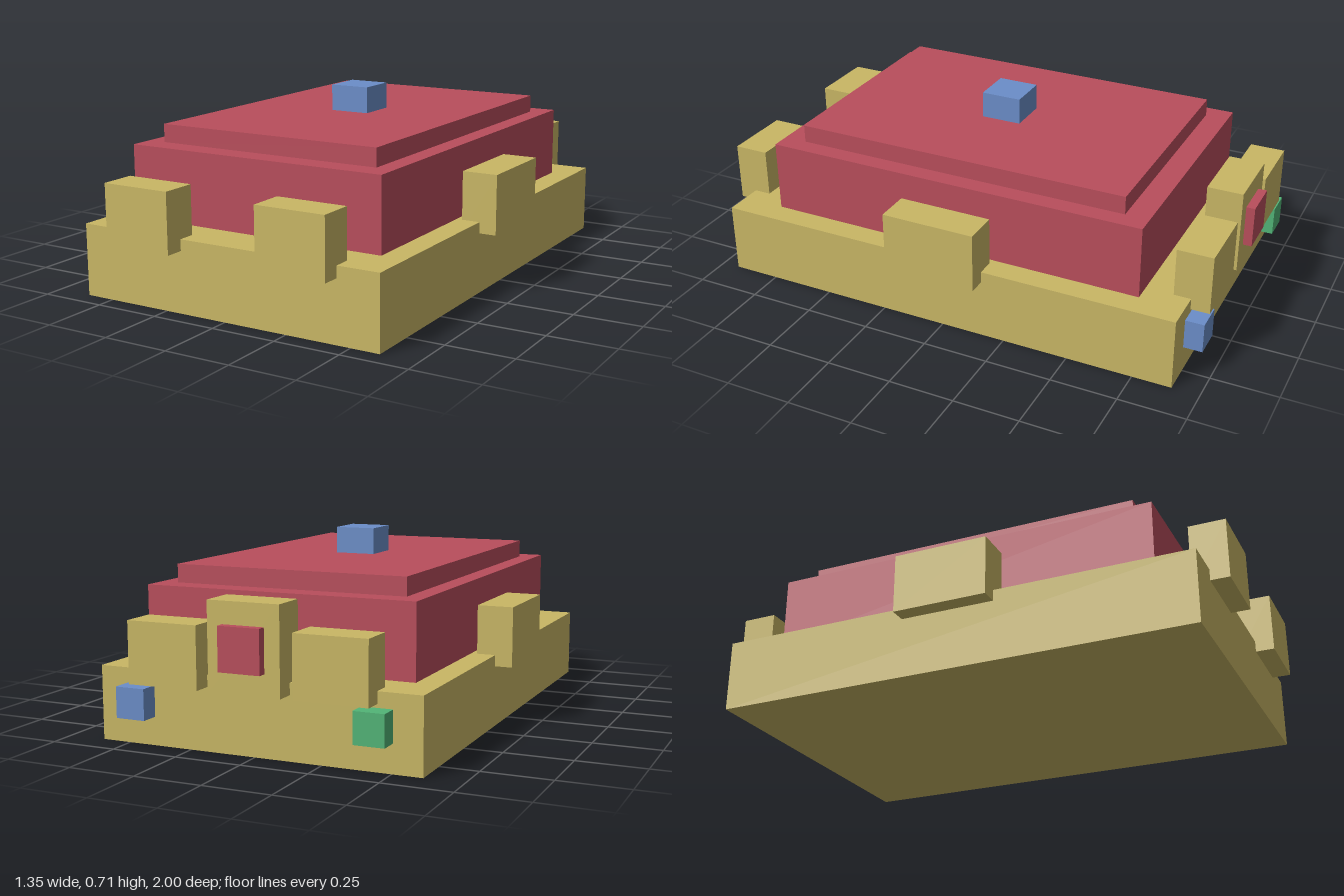
import * as THREE from 'three';

export function createModel() {
  const model = new THREE.Group();
  model.name = 'steppedBox';

  const material = (name, color) => {
    const m = new THREE.MeshStandardMaterial({ color });
    m.name = name;
    return m;
  };
  const gold = material('gold', 0xc9b765);
  const red = material('red', 0xb94e5c);
  const blue = material('blue', 0x6b8ec9);
  const green = material('green', 0x52b577);

  // Box given by its lower and upper limits on each axis
  const box = (name, mat, [x0, x1], [y0, y1], [z0, z1]) => {
    const mesh = new THREE.Mesh(new THREE.BoxGeometry(x1 - x0, y1 - y0, z1 - z0), mat);
    mesh.position.set((x0 + x1) / 2, (y0 + y1) / 2, (z0 + z1) / 2);
    mesh.name = name;
    model.add(mesh);
  };

  // Stepped core
  box('base', gold, [-0.61, 0.61], [0, 0.27], [-0.897, 0.93]);
  box('body', red, [-0.518, 0.518], [0.27, 0.542], [-0.73, 0.76]);
  box('lid', red, [-0.448, 0.448], [0.542, 0.61], [-0.64, 0.67]);
  box('topKnob', blue, [-0.078, 0.078], [0.61, 0.71], [-0.062, 0.093]);

  // Blocks straddling the rim of the base, mirrored left and right
  const blockY = [0.228, 0.452];
  for (const [side, s] of [['left', 1], ['right', -1]]) {
    const span = (a, b) => (s > 0 ? [a, b] : [-b, -a]);
    box(side + 'FrontBlock', gold, span(0.18, 0.45), blockY, [0.865, 1]);
    box(side + 'RearBlock', gold, span(0.18, 0.45), blockY, [-0.967, -0.833]);
    box(side + 'SideBlock', gold, span(0.54, 0.675), blockY, [-0.163, 0.197]);
    // Small rear markers
    box(side + 'RearMarker', s > 0 ? blue : green, span(0.393, 0.505), [0.103, 0.215], [-0.967, -0.897]);
  }

  // Taller middle block at the rear with its panel
  box('middleRearBlock', gold, [-0.135, 0.135], [0.228, 0.542], [-0.967, -0.833]);
  box('rearPanel', red, [-0.078, 0.078], [0.307, 0.463], [-1, -0.967]);

  return model;
}
